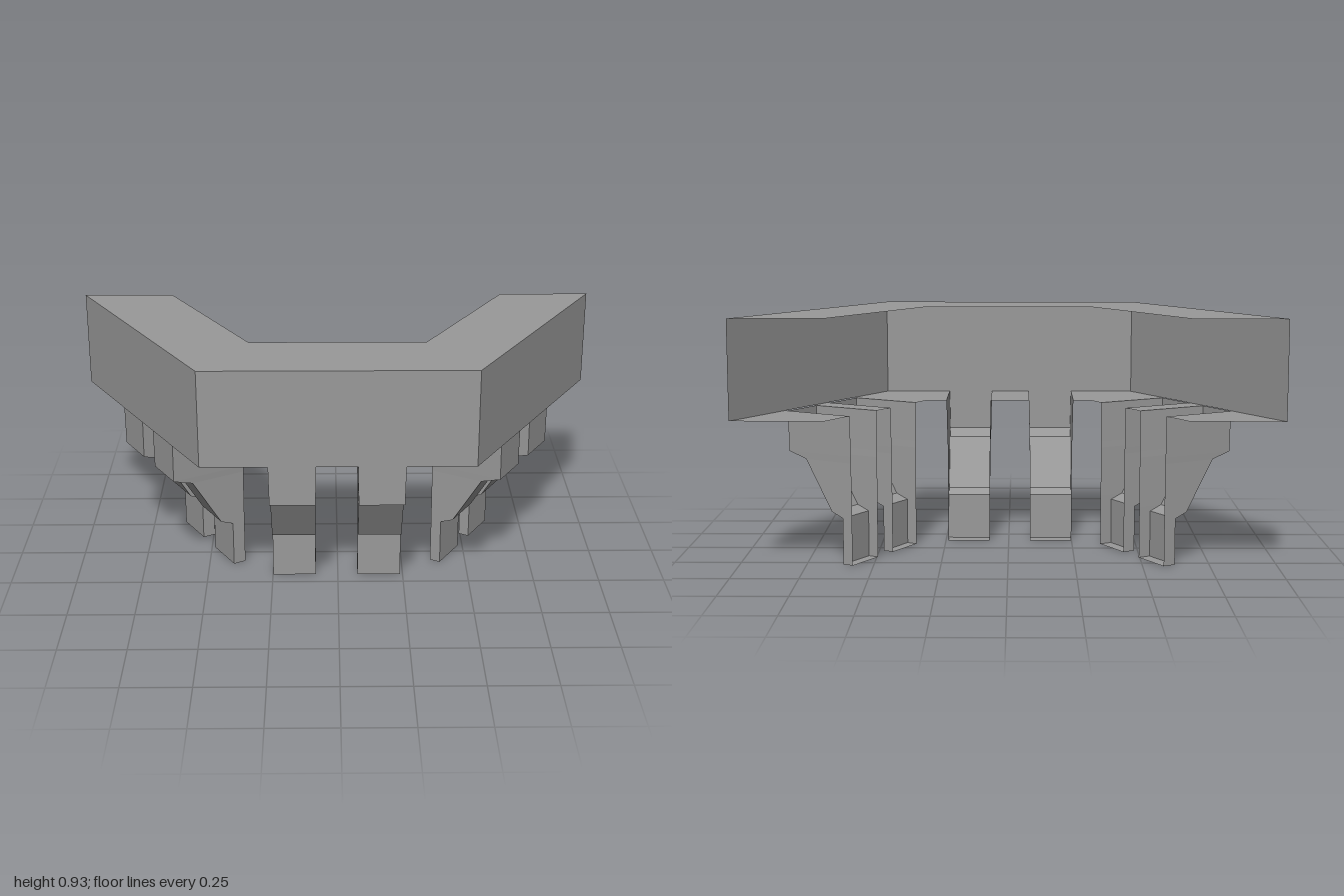
import * as THREE from 'three';

const material = new THREE.MeshStandardMaterial({ color: 0x999999, flatShading: true, side: THREE.DoubleSide });

// Flat-shaded skin over grids, each made of rows of [x, y, z] points
function skin(grids) {
  const pos = [];
  for (const rows of grids) {
    for (let i = 0; i < rows.length - 1; i++) {
      for (let j = 0; j < rows[i].length - 1; j++) {
        const a = rows[i][j], b = rows[i][j + 1], c = rows[i + 1][j + 1], d = rows[i + 1][j];
        pos.push(...a, ...b, ...c, ...a, ...c, ...d);
      }
    }
  }
  const g = new THREE.BufferGeometry();
  g.setAttribute('position', new THREE.Float32BufferAttribute(pos, 3));
  g.computeVertexNormals();
  return g;
}

// Half hexagon in plan; every side is laid out along x, with z as its distance from the centre
const BOTTOM = 0.562, TOP = 0.93;
const OUTER = 1, INNER = 0.655; // hexagon radii
const FRONT = OUTER * Math.cos(Math.PI / 6), BACK = INNER * Math.cos(Math.PI / 6);
const CENTRE_Z = -FRONT / 2;
const CORBEL_TOP = 0.087; // half width of a corbel where it meets the floor

// Roof and outer wall of one side, mitred at both ends
function parapetGeometry() {
  return skin([[-0.5, 0.5].map((s) => [
    [s * INNER, TOP, BACK], [s * OUTER, TOP, FRONT], [s * OUTER, BOTTOM, FRONT],
  ])]);
}

// Floor panels of one side, left open above the hollow corbels
function floorGeometry(offsets) {
  const edges = [[-INNER / 2, -OUTER / 2]]; // inner x, outer x
  for (const x of offsets) {
    for (const e of [x - CORBEL_TOP, x + CORBEL_TOP]) edges.push([e, e]);
  }
  edges.push([INNER / 2, OUTER / 2]);
  const rows = edges.map(([xi, xo]) => [[xo, BOTTOM, FRONT], [xi, BOTTOM, BACK]]);
  return skin([0, 2, 4].map((i) => rows.slice(i, i + 2)));
}

// Stepped hollow bracket, open at the back and top; levels are [height, front depth, half width]
function corbelGeometry(shift) {
  const levels = [
    [0, 0.623, 0.082], [0.175, 0.623, 0.082], [0.195, 0.673, 0.082],
    [0.385, 0.788, 0.083], [0.41, FRONT, 0.084], [BOTTOM, FRONT, CORBEL_TOP],
  ];
  const rows = levels.map(([y, z, w]) => [
    [-w, y, BACK], [-w, y, z + shift], [w, y, z + shift], [w, y, BACK],
  ]);
  const [leftBack, leftFront, rightFront, rightBack] = rows[0];
  return skin([rows, [[leftBack, rightBack], [leftFront, rightFront]]]);
}

export function createModel() {
  const group = new THREE.Group();
  const sides = [
    { name: 'front', angle: 0, offsets: [-0.167, 0.158], shift: 0 },
    { name: 'left', angle: Math.PI / 3, offsets: [-0.173, 0.09], shift: -0.014 },
    { name: 'right', angle: -Math.PI / 3, offsets: [-0.092, 0.177], shift: -0.006 },
  ];
  for (const { name, angle, offsets, shift } of sides) {
    const side = new THREE.Group();
    side.name = name + 'Side';
    side.position.z = CENTRE_Z;
    side.rotation.y = angle;
    group.add(side);

    const add = (geometry, part) => {
      const mesh = new THREE.Mesh(geometry, material);
      mesh.name = name + part;
      side.add(mesh);
      return mesh;
    };
    add(parapetGeometry(), 'Parapet');
    add(floorGeometry(offsets), 'Floor');
    for (const x of offsets) add(corbelGeometry(shift), 'Corbel').position.x = x;
  }
  return group;
}
